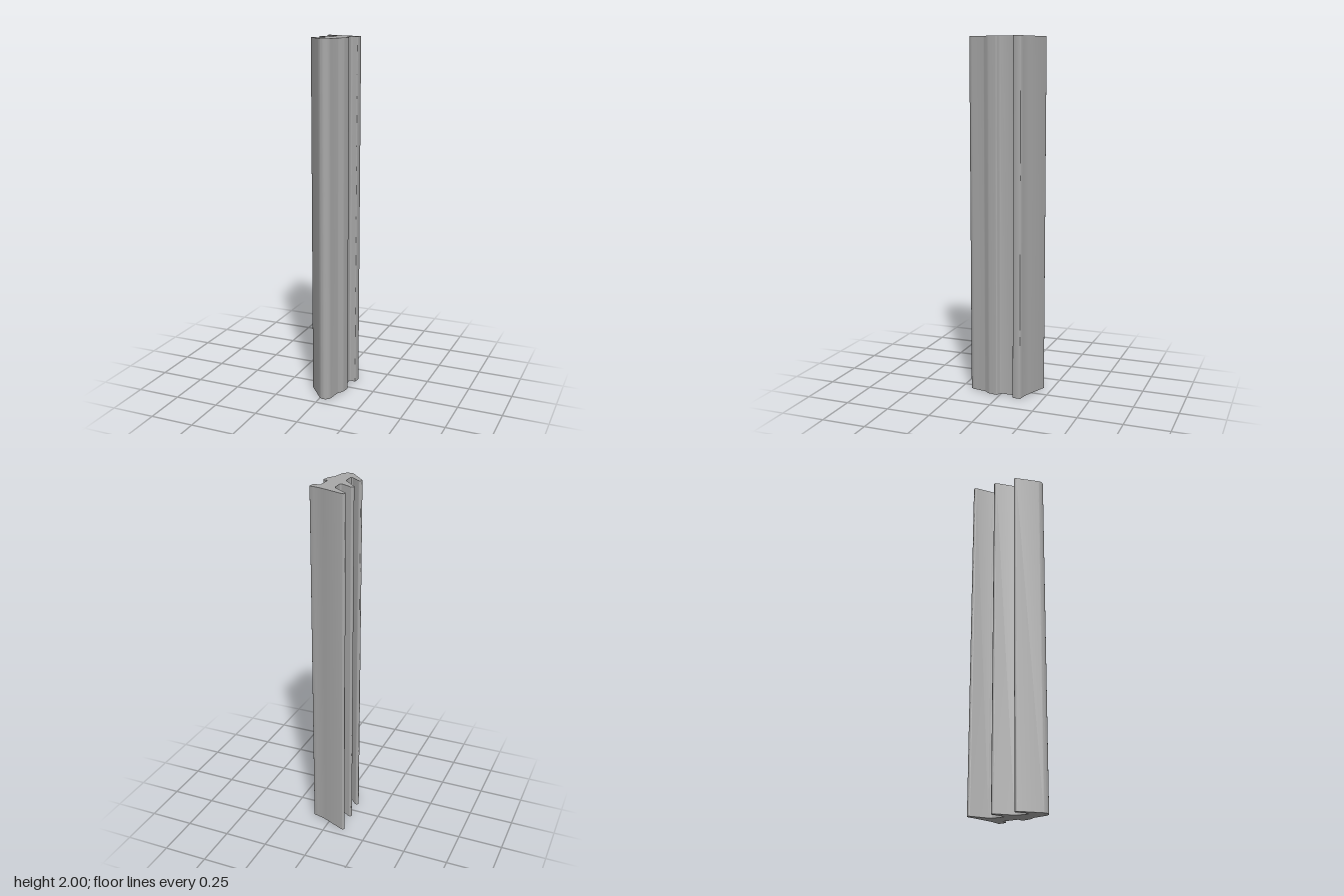
import * as THREE from 'three';
import { toCreasedNormals } from 'three/addons/utils/BufferGeometryUtils.js';

const LENGTH = 2;

// Rounding circles of the seal profile, clockwise from above: x, z, radius.
// A positive radius rounds an outer corner, a negative one an inner corner.
const CIRCLES = [
  [-0.099, -0.188, 0.012],  // back lip tip
  [0.122, -0.38, -0.25],    // hollow of the back face
  [0.103, -0.122, 0.008],   // flange corners
  [0.1025, -0.087, 0.005],
  [0.078, -0.078, -0.008],  // side groove
  [0.078, 0.001, -0.008],
  [0.091, 0.02, 0.008],     // side bulge
  [0.054, 0.053, 0.04],
  [0.103, 0.112, -0.035],
  [0.023, 0.163, 0.036],    // rounded nose
  [-0.083, 0.074, 0.0115],  // front lip tip
  [-0.024, 0.103, -0.008],  // front notch
  [-0.048, 0.053, -0.03],
  [-0.0905, -0.0545, 0.0115], // middle lip tip
  [-0.023, -0.036, -0.007], // back notch
  [-0.05, -0.09, -0.032],
].map(([x, z, r]) => ({ x, y: -z, r }));

// Angle of the outward normal of the line tangent to two circles
function tangentNormal(a, b) {
  const dx = b.x - a.x, dy = b.y - a.y;
  const s = THREE.MathUtils.clamp((a.r - b.r) / Math.hypot(dx, dy), -1, 1);
  return Math.atan2(dy, dx) + Math.acos(s);
}

// Outline made of arcs joined by their common tangents
function profile() {
  const n = CIRCLES.length;
  const points = [];
  CIRCLES.forEach((c, i) => {
    const start = tangentNormal(CIRCLES[(i + n - 1) % n], c);
    const turn = tangentNormal(c, CIRCLES[(i + 1) % n]) - start;
    const sweep = Math.atan2(Math.sin(turn), Math.cos(turn));
    const steps = Math.max(2, Math.ceil(Math.abs(sweep) / 0.2));
    for (let k = 0; k <= steps; k++) {
      const t = start + (sweep * k) / steps;
      points.push(new THREE.Vector2(c.x + c.r * Math.cos(t), c.y + c.r * Math.sin(t)));
    }
  });
  return new THREE.Shape(points);
}

export function createModel() {
  const rubber = new THREE.MeshStandardMaterial({ color: 0xa8a8a8 });
  rubber.name = 'grey rubber';

  // Profile drawn out along the upright length
  const strip = new THREE.ExtrudeGeometry(profile(), { depth: LENGTH, bevelEnabled: false });
  strip.rotateX(-Math.PI / 2);

  const mesh = new THREE.Mesh(toCreasedNormals(strip, 0.5), rubber);
  mesh.name = 'sealStrip';

  const group = new THREE.Group();
  group.name = 'finnedSealProfile';
  group.add(mesh);
  return group;
}
